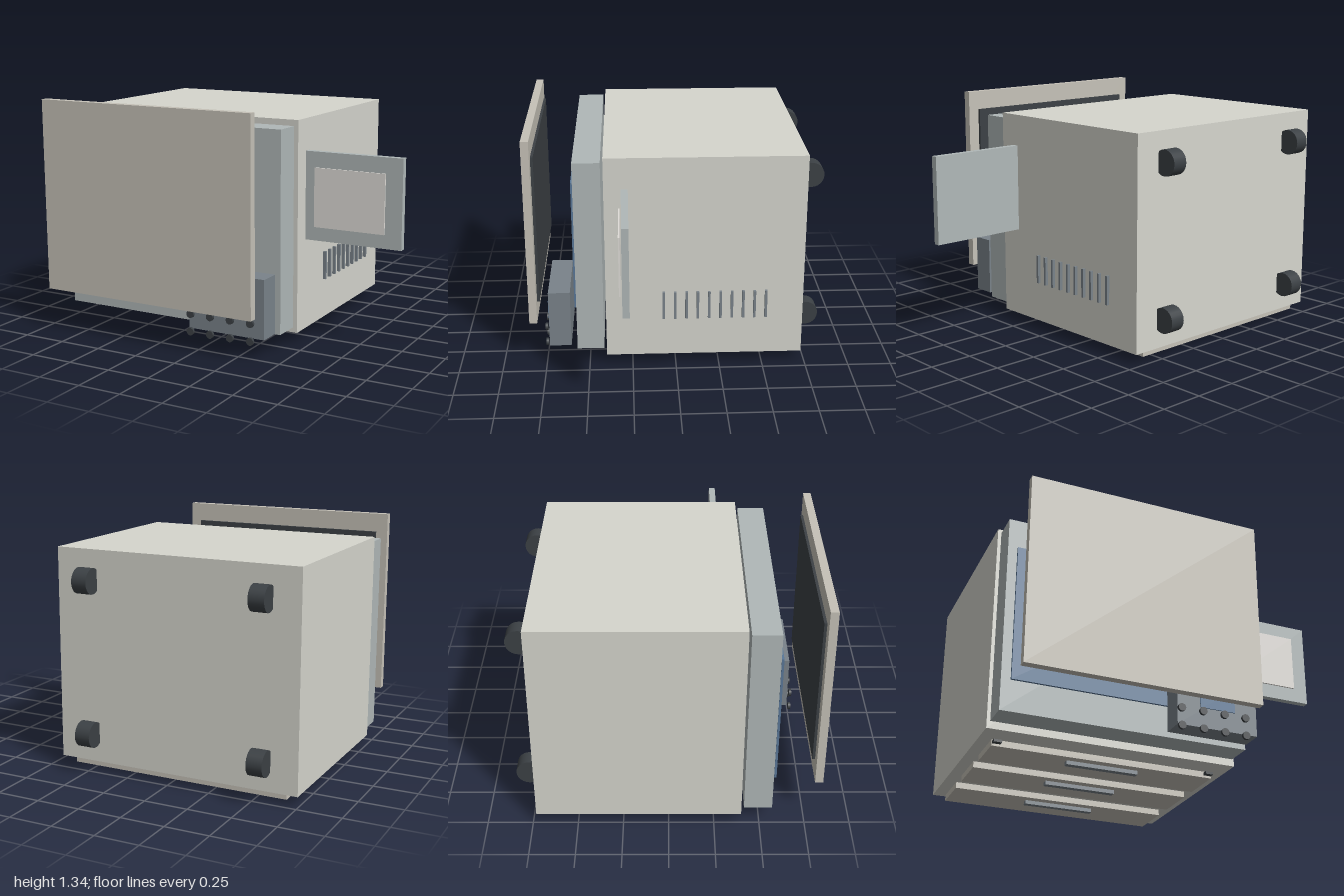
import * as THREE from 'three';

const mat = (color) => new THREE.MeshStandardMaterial({ color });

export function createModel() {
  const model = new THREE.Group();
  const shell = mat(0xd6d6ce), doorGrey = mat(0xc6c2b8), steel = mat(0xb0b8b8);
  const slate = mat(0x7a838a), dark = mat(0x3c4145), blue = mat(0x5a7898), pale = mat(0xe0ddd8);

  // Box given by its extents along each axis
  function box(name, [x0, x1], [y0, y1], [z0, z1], material) {
    const mesh = new THREE.Mesh(new THREE.BoxGeometry(x1 - x0, y1 - y0, z1 - z0), material);
    mesh.position.set((x0 + x1) / 2, (y0 + y1) / 2, (z0 + z1) / 2);
    mesh.name = name;
    model.add(mesh);
    return mesh;
  }
  function cylinder(name, radius, length, sides, position, axis, material) {
    const geometry = new THREE.CylinderGeometry(radius, radius, length, sides);
    if (axis === 'x') geometry.rotateZ(Math.PI / 2);
    if (axis === 'z') geometry.rotateX(Math.PI / 2);
    const mesh = new THREE.Mesh(geometry, material);
    mesh.position.set(...position);
    mesh.name = name;
    model.add(mesh);
  }

  // Cabinet, front frame and glass
  box('cabinet', [-1, 0.43], [0.06, 1.26], [-0.73, 0.4], shell);
  box('frontFrame', [-0.985, 0.412], [0.095, 1.228], [0.415, 0.57], steel);
  box('glassPanel', [-0.935, 0.23], [0.268, 1.05], [0.577, 0.59], blue);

  // Door with its inner lining
  box('door', [-0.952, 0.38], [0.245, 1.343], [0.8, 0.845], doorGrey);
  box('doorLining', [-0.883, 0.311], [0.353, 1.233], [0.785, 0.8], dark);

  // Control unit with display and two rows of buttons
  box('controlBox', [-0.07, 0.398], [0.11, 0.445], [0.605, 0.73], slate);
  box('display', [0.06, 0.263], [0.22, 0.33], [0.737, 0.743], blue);
  for (const y of [0.197, 0.097])
    for (let i = 0; i < 4; i++)
      cylinder('button', 0.022, 0.015, 16, [-0.053 + i * 0.125, y, 0.748], 'z', dark);

  // Side panel with screen
  box('sidePanel', [0.43, 1], [0.58, 1.08], [0.265, 0.303], steel);
  box('sideScreen', [0.49, 0.906], [0.66, 0.993], [0.311, 0.32], pale);

  // Ventilation slats
  for (let i = 0; i < 10; i++) {
    const z = 0.07 - i * 0.065;
    box('ventSlat', [0.435, 0.453], [0.295, 0.46], [z - 0.007, z + 0.007], slate);
  }

  // Drawer fronts and handles on the underside
  for (const [z0, z1, handle] of [[0.012, 0.26, 0.202], [-0.34, -0.09, -0.147], [-0.706, -0.456, -0.513]]) {
    box('drawer', [-0.93, 0.355], [0.025, 0.06], [z0, z1], doorGrey);
    box('drawerHandle', [-0.495, -0.078], [0, 0.022], [handle - 0.017, handle + 0.017], slate);
  }

  // Small catches beside the first drawer
  for (const x of [-0.903, 0.332])
    box('drawerCatch', [x - 0.023, x + 0.023], [0.038, 0.053], [0.25, 0.29], dark);

  // Wheels on the back
  for (const x of [-0.8, 0.23])
    for (const y of [1.093, 0.228])
      cylinder('wheel', 0.072, 0.09, 24, [x, y, -0.773], 'x', dark);

  return model;
}
